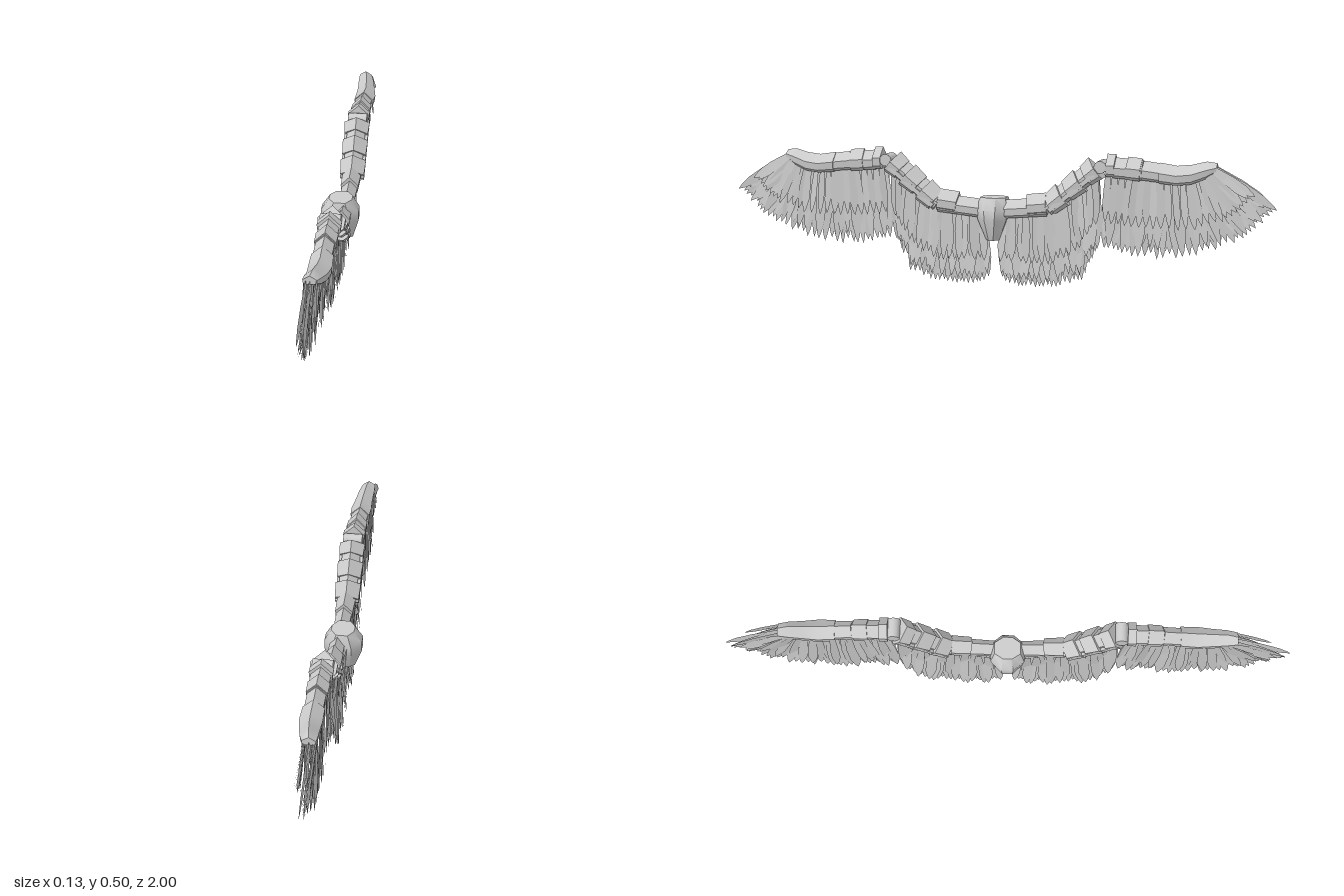
import * as THREE from 'three';
import { mergeGeometries, toCreasedNormals } from 'three/addons/utils/BufferGeometryUtils.js';

const grey = new THREE.MeshStandardMaterial({ color: 0xcccccc, side: THREE.DoubleSide });
grey.name = 'light grey';

let seed = 7;
const rand = () => (seed = (seed * 16807) % 2147483647) / 2147483647;
const spread = (a) => (rand() * 2 - 1) * a;

// Skin a list of rings (each a list of [x, y, z]) and close both ends
function loft(rings, crease) {
  const n = rings[0].length, idx = [];
  for (let r = 0; r < rings.length - 1; r++) {
    for (let i = 0; i < n; i++) {
      const a = r * n + i, b = r * n + (i + 1) % n;
      idx.push(a, b, a + n, b, b + n, a + n);
    }
  }
  const last = (rings.length - 1) * n;
  for (let i = 1; i < n - 1; i++) idx.push(0, i + 1, i, last, last + i, last + i + 1);
  const g = new THREE.BufferGeometry();
  g.setAttribute('position', new THREE.Float32BufferAttribute(rings.flat(2), 3));
  g.setIndex(idx);
  return toCreasedNormals(g, crease);
}

function addMesh(parent, geometry, name) {
  const mesh = new THREE.Mesh(geometry, grey);
  mesh.name = name;
  parent.add(mesh);
  return mesh;
}

// Roof-topped cross-section, standing square to the arm direction
function armRing([z, y, h, w, cx = 0.016], angle) {
  const profile = [[0, 0.5], [-1, 0.02], [-0.92, -0.36], [-0.6, -0.5], [0.6, -0.5], [0.92, -0.36], [1, 0.02]];
  return profile.map(([u, v]) => [cx + u * w, y + v * h * Math.cos(angle), z - v * h * Math.sin(angle)]);
}

function armPiece(parent, name, angle, stations) {
  addMesh(parent, loft(stations.map((s) => armRing(s, angle)), 0.3), name);
}

// Flat pointed blade between a root and a tip, slightly twisted
const bladeShape = new THREE.Shape([
  [-0.3, 0], [-0.5, 0.45], [-0.45, 0.75], [-0.2, 0.93], [0, 1], [0.25, 0.9], [0.5, 0.7], [0.45, 0.4], [0.3, 0],
].map(([x, y]) => new THREE.Vector2(x, y)));

function feather(root, tip, width, twist) {
  const along = tip.clone().sub(root), length = along.length();
  along.normalize();
  const normal = new THREE.Vector3(1, 0, 0);
  const across = normal.clone().cross(along).normalize().applyAxisAngle(along, twist);
  const out = across.clone().cross(along);
  const m = new THREE.Matrix4().makeBasis(across, along, out).setPosition(root);
  return new THREE.ShapeGeometry(bladeShape).scale(width, length, 1).applyMatrix4(m);
}

// Feather guides: root z, root y, tip z, tip y
const innerGuides = [
  [0.04, 0.29, 0.025, 0.03], [0.12, 0.3, 0.12, 0.01], [0.2, 0.32, 0.22, 0.01],
  [0.28, 0.38, 0.32, 0.05], [0.37, 0.45, 0.375, 0.17],
];
const outerGuides = [
  [0.42, 0.46, 0.4, 0.17], [0.52, 0.455, 0.49, 0.15], [0.6, 0.45, 0.61, 0.14], [0.7, 0.44, 0.74, 0.16],
  [0.75, 0.445, 0.86, 0.21], [0.77, 0.455, 0.94, 0.27], [0.785, 0.47, 1.0, 0.335],
];

function featherRow(parent, name, guides, count, x, lean, reach, width) {
  const blades = [];
  for (let i = 0; i < count; i++) {
    const t = (i / (count - 1)) * (guides.length - 1);
    const k = Math.min(Math.floor(t), guides.length - 2);
    const [rz, ry, tz, ty] = guides[k].map((v, j) => v + (guides[k + 1][j] - v) * (t - k));
    const r = reach * (i === count - 1 ? 1 : 0.93 + rand() * 0.07);
    const root = new THREE.Vector3(x + spread(0.008), ry, rz);
    const tip = new THREE.Vector3(x + lean + spread(0.01), ry + (ty - ry) * r, rz + (tz - rz) * r);
    blades.push(feather(root, tip, width * (0.85 + rand() * 0.3), spread(0.18)));
  }
  addMesh(parent, mergeGeometries(blades), name);
}

function buildWing(name) {
  const wing = new THREE.Group();
  wing.name = name;

  // Inner arm with its collar
  armPiece(wing, 'innerArm', 0.08, [[0.03, 0.302, 0.065, 0.026], [0.2, 0.318, 0.065, 0.03]]);
  armPiece(wing, 'innerCollar', 0.15, [[0.13, 0.322, 0.075, 0.032], [0.2, 0.33, 0.075, 0.034]]);

  // Sloping forearm with broad armour bands
  const a = [0.2, 0.318], b = [0.375, 0.462], slope = Math.atan2(b[1] - a[1], b[0] - a[0]);
  const at = (t, h, w) => [a[0] + (b[0] - a[0]) * t, a[1] + (b[1] - a[1]) * t, h, w];
  armPiece(wing, 'forearm', slope, [at(0, 0.065, 0.034), at(1, 0.07, 0.034)]);
  for (const [t0, t1] of [[0.06, 0.32], [0.42, 0.68], [0.8, 1]]) {
    armPiece(wing, 'forearmBand', slope, [at(t0, 0.078, 0.044), at(t1, 0.09, 0.047)]);
  }
  // Side rails along the forearm
  for (const side of [-1, 1]) {
    const rail = addMesh(wing, new THREE.BoxGeometry(0.012, 0.016, 0.21), 'forearmRail');
    rail.position.set(0.016 + side * 0.038, 0.376, 0.296);
    rail.rotation.x = -slope;
  }

  // Wrist hinge
  const hinge = addMesh(wing, new THREE.CylinderGeometry(0.022, 0.022, 0.07, 12), 'wristHinge');
  hinge.rotation.z = Math.PI / 2;
  hinge.position.set(0.016, 0.467, 0.395);

  // Hand blocks, shrinking outward
  armPiece(wing, 'wristBlock', 0, [[0.415, 0.473, 0.078, 0.04], [0.445, 0.473, 0.078, 0.04]]);
  armPiece(wing, 'handBlock', -0.04, [[0.44, 0.465, 0.07, 0.034], [0.54, 0.46, 0.07, 0.033]]);
  armPiece(wing, 'handBand', -0.08, [[0.485, 0.465, 0.078, 0.037], [0.535, 0.461, 0.078, 0.036]]);
  armPiece(wing, 'outerHandBlock', -0.1, [[0.54, 0.459, 0.066, 0.031], [0.62, 0.45, 0.064, 0.031]]);

  // Curved tip guard
  armPiece(wing, 'tipGuard', 0, [
    [0.6, 0.452, 0.07, 0.036], [0.66, 0.445, 0.066, 0.038, 0.017], [0.71, 0.45, 0.066, 0.033, 0.014],
    [0.76, 0.466, 0.058, 0.029, 0.008], [0.795, 0.475, 0.03, 0.023, 0.003],
  ]);

  // Overlapping rows of feathers
  featherRow(wing, 'innerLongFeathers', innerGuides, 26, 0.0, -0.012, 1, 0.036);
  featherRow(wing, 'innerBackFeathers', innerGuides, 21, -0.012, 0.012, 0.92, 0.034);
  featherRow(wing, 'innerCoverts', innerGuides, 20, 0.022, -0.004, 0.68, 0.03);
  featherRow(wing, 'outerLongFeathers', outerGuides, 34, 0.0, -0.004, 1, 0.036);
  featherRow(wing, 'outerBackFeathers', outerGuides, 27, -0.012, 0.008, 0.9, 0.034);
  featherRow(wing, 'outerCoverts', outerGuides, 25, 0.022, 0.003, 0.66, 0.03);
  return wing;
}

export function createModel() {
  const model = new THREE.Group();
  model.name = 'wings';

  const leftWing = buildWing('frontWing');
  seed = 7;
  const otherWing = buildWing('rearWing');
  otherWing.scale.z = -1;
  model.add(leftWing, otherWing);

  // Faceted central hub: y, x min, x max, half width in z
  const hub = [
    [0.19, -0.042, 0.046, 0.024], [0.262, -0.068, 0.066, 0.052], [0.3, -0.068, 0.066, 0.06], [0.343, -0.04, 0.042, 0.046],
  ].map(([y, x0, x1, w]) => [
    [x0, y, -w * 0.35], [x0, y, w * 0.35], [x0 * 0.5, y, w], [x1 * 0.5, y, w],
    [x1, y, w * 0.35], [x1, y, -w * 0.35], [x1 * 0.5, y, -w], [x0 * 0.5, y, -w],
  ]);
  addMesh(model, loft(hub, 0.6), 'hub');
  return model;
}
